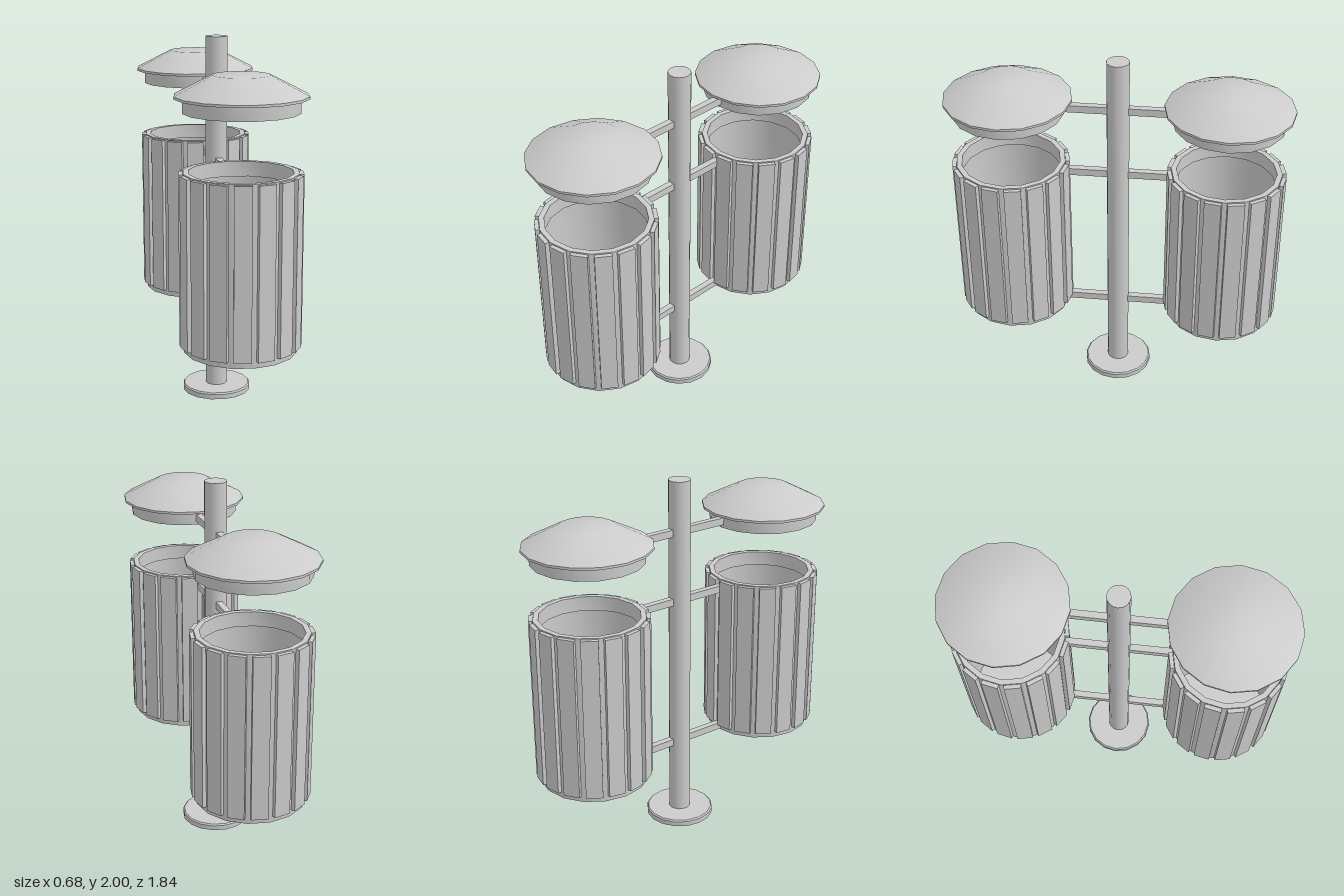
import * as THREE from 'three';
import { toCreasedNormals } from 'three/addons/utils/BufferGeometryUtils.js';

const SIDES = 16;
const BIN_Z = 0.58;
const material = new THREE.MeshStandardMaterial({ color: 0xcccccc });

function addMesh(parent, name, geometry, x = 0, y = 0, z = 0) {
  const mesh = new THREE.Mesh(geometry, material);
  mesh.name = name;
  mesh.position.set(x, y, z);
  parent.add(mesh);
  return mesh;
}

// Turned part: profile of [radius, height] from bottom axis, up the outside, back to the axis
function turned(profile) {
  const points = profile.map(([r, y]) => new THREE.Vector2(r, y));
  return toCreasedNormals(new THREE.LatheGeometry(points, SIDES), 0.5);
}

function createBin() {
  const bin = new THREE.Group();
  bin.name = 'bin';

  // Open container with a thicker collar at the mouth
  addMesh(bin, 'container', turned([
    [0, 0.445], [0.296, 0.445], [0.296, 1.38], [0.267, 1.38],
    [0.267, 1.3], [0.28, 1.3], [0.28, 0.47], [0, 0.47],
  ]));

  // Upright slats around the container
  const slat = new THREE.BoxGeometry(0.09, 0.895, 0.022);
  for (let i = 0; i < SIDES; i++) {
    const a = ((i + 0.5) / SIDES) * Math.PI * 2;
    const r = 0.303;
    addMesh(bin, 'slat', slat, Math.sin(a) * r, 0.9265, Math.cos(a) * r).rotation.y = a;
  }

  // Sloping lid with a rim, and a hollow skirt below it
  addMesh(bin, 'lid', turned([
    [0, 1.745], [0.284, 1.745], [0.284, 1.68], [0.297, 1.68], [0.297, 1.75],
    [0.339, 1.752], [0.339, 1.765], [0.145, 1.865], [0, 1.865],
  ]));
  return bin;
}

export function createModel() {
  const model = new THREE.Group();
  model.name = 'twinLitterBin';

  // Post and foot plate
  addMesh(model, 'post', new THREE.CylinderGeometry(0.06, 0.06, 1.98, SIDES), 0, 1.01, 0);
  addMesh(model, 'footPlate', turned([
    [0, 0], [0.19, 0], [0.19, 0.028], [0.183, 0.036], [0, 0.036],
  ]));

  // A bin in front of and behind the post, each held by three arms
  const arm = new THREE.BoxGeometry(0.036, 0.04, 0.26);
  for (const side of [1, -1]) {
    const unit = new THREE.Group();
    unit.name = side > 0 ? 'frontUnit' : 'backUnit';
    unit.rotation.y = side > 0 ? 0 : Math.PI;
    const bin = createBin();
    bin.position.z = BIN_Z;
    unit.add(bin);
    for (const y of [0.471, 1.328, 1.718]) addMesh(unit, 'arm', arm, 0, y, 0.162);
    model.add(unit);
  }
  return model;
}
